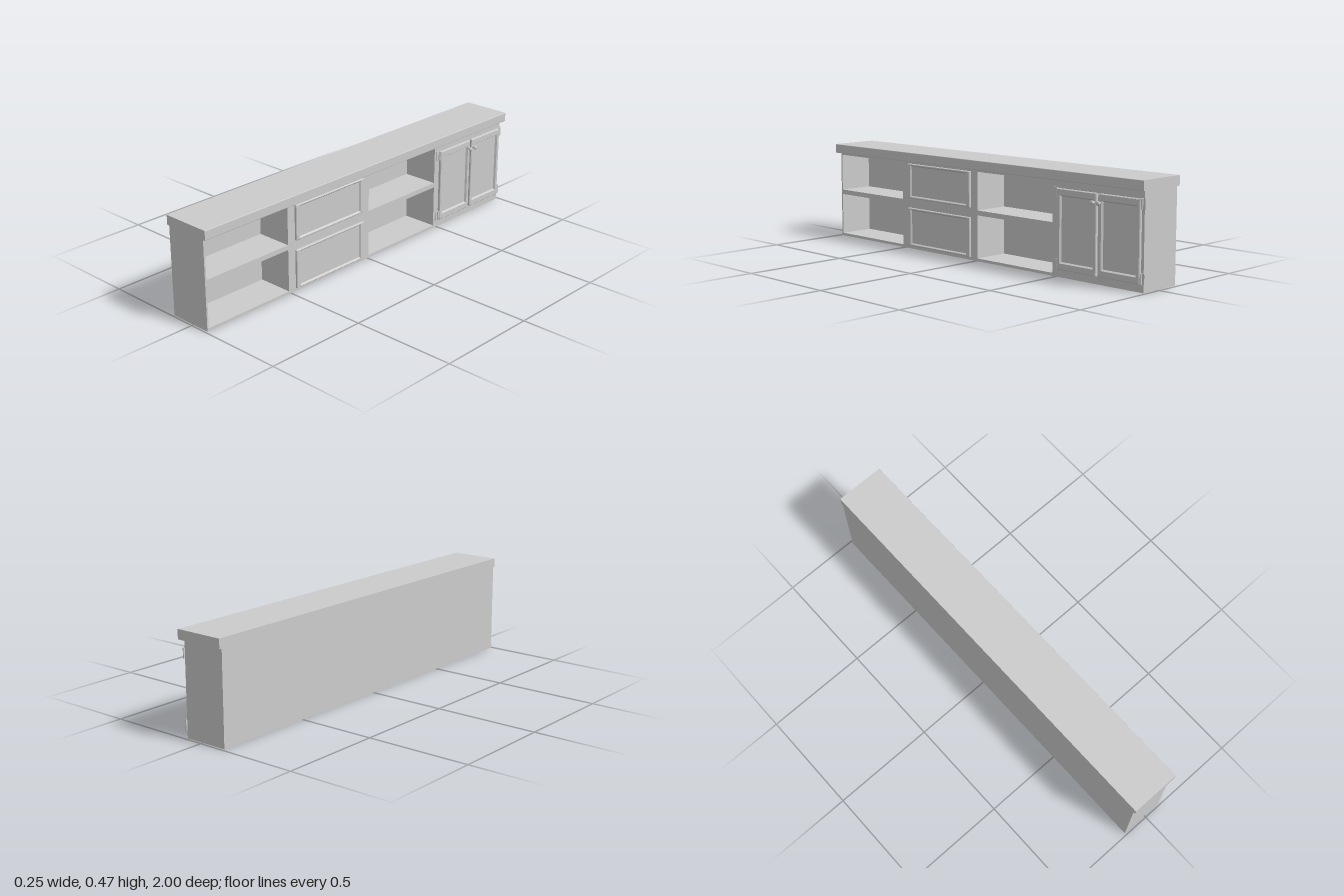
import * as THREE from 'three';

const material = new THREE.MeshStandardMaterial({ color: 0xcccccc });
const flat = new THREE.MeshStandardMaterial({ color: 0xcccccc, flatShading: true });

// The cabinet is built facing local +z with u = local x along its length,
// then turned so its doors face +x.
const FACE = 0.09, BACK = -0.125, INNER_BACK = -0.085;

function add(parent, name, geometry, x = 0, y = 0, z = 0, mat = material) {
  const mesh = new THREE.Mesh(geometry, mat);
  mesh.name = name;
  mesh.position.set(x, y, z);
  parent.add(mesh);
  return mesh;
}

function rectPath(path, u0, u1, y0, y1) {
  path.moveTo(u0, y0);
  path.lineTo(u1, y0);
  path.lineTo(u1, y1);
  path.lineTo(u0, y1);
  path.closePath();
  return path;
}

// Framed front with a sunken panel: rectangular rings joined from back to centre
function framedFront(u0, u1, y0, y1, frameU, frameY, top) {
  const e = 0.003, c = 0.006;
  const rings = [
    [0, 0, FACE], [0, 0, top - e], [e, e, top],
    [frameU - c, frameY - c, top], [frameU, frameY, FACE + 0.004],
  ];
  const positions = [], index = [];
  for (const [du, dy, z] of rings) {
    positions.push(u0 + du, y0 + dy, z, u1 - du, y0 + dy, z, u1 - du, y1 - dy, z, u0 + du, y1 - dy, z);
  }
  for (let r = 0; r < rings.length - 1; r++) {
    for (let i = 0; i < 4; i++) {
      const a = r * 4 + i, b = r * 4 + (i + 1) % 4;
      index.push(a, b, b + 4, a, b + 4, a + 4);
    }
  }
  const last = (rings.length - 1) * 4;
  index.push(last, last + 1, last + 2, last, last + 2, last + 3);
  const geometry = new THREE.BufferGeometry();
  geometry.setAttribute('position', new THREE.Float32BufferAttribute(positions, 3));
  geometry.setIndex(index);
  const faceted = geometry.toNonIndexed();
  faceted.computeVertexNormals();
  return faceted;
}

// Hinge: a leaf screwed to the frame and a barrel beside the door
function addHinge(parent, u, y, side) {
  const hinge = new THREE.Group();
  hinge.name = 'hinge';
  add(hinge, 'hingeLeaf', new THREE.BoxGeometry(0.018, 0.046, 0.005), side * 0.012, 0, FACE + 0.002);
  add(hinge, 'hingeBarrel', new THREE.CylinderGeometry(0.005, 0.005, 0.046, 12), side * 0.004, 0, FACE + 0.005);
  hinge.position.set(u, y, 0);
  parent.add(hinge);
}

export function createModel() {
  const model = new THREE.Group();
  model.name = 'lowCabinet';
  const cabinet = new THREE.Group();
  cabinet.name = 'cabinet';
  cabinet.rotation.y = Math.PI / 2;
  model.add(cabinet);

  // Carcass with four open compartments, closed by a back panel
  const u0 = -0.99, u1 = 0.987, height = 0.43;
  const outline = rectPath(new THREE.Shape(), u0, u1, 0, height);
  for (const [a, b] of [[-0.982, -0.512], [0.008, 0.478]]) {
    for (const [lo, hi] of [[0.013, 0.216], [0.239, 0.419]]) {
      outline.holes.push(rectPath(new THREE.Path(), a, b, lo, hi));
    }
  }
  const carcass = new THREE.ExtrudeGeometry(outline, { depth: FACE - INNER_BACK, bevelEnabled: false });
  add(cabinet, 'carcass', carcass, 0, 0, INNER_BACK);
  add(cabinet, 'backPanel', new THREE.BoxGeometry(u1 - u0, height, INNER_BACK - BACK),
    (u0 + u1) / 2, height / 2, (INNER_BACK + BACK) / 2);

  // Countertop: side profile with eased front edges, run along the length
  const y0 = 0.43, y1 = 0.475, front = 0.115, r = 0.004;
  const profile = new THREE.Shape();
  profile.moveTo(BACK, y0);
  profile.lineTo(front - r, y0);
  profile.quadraticCurveTo(front, y0, front, y0 + r);
  profile.lineTo(front, y1 - r);
  profile.quadraticCurveTo(front, y1, front - r, y1);
  profile.lineTo(BACK, y1);
  profile.closePath();
  const top = new THREE.ExtrudeGeometry(profile, { depth: 2, bevelEnabled: false, curveSegments: 4 });
  top.translate(0, 0, -1);
  top.rotateY(-Math.PI / 2);
  add(cabinet, 'countertop', top);

  // Drawer fronts
  for (const [lo, hi] of [[0.015, 0.202], [0.249, 0.418]]) {
    add(cabinet, 'drawerFront', framedFront(-0.469, -0.035, lo, hi, 0.027, 0.013, 0.101), 0, 0, 0, flat);
  }

  // Pair of doors with hinges and knobs, mirrored about their meeting line
  const knobProfile = [
    [0.006, 0], [0.0045, 0.003], [0.004, 0.009], [0.006, 0.011], [0.0095, 0.013],
    [0.0105, 0.016], [0.0095, 0.019], [0.006, 0.0215], [0, 0.0225],
  ].map(([x, y]) => new THREE.Vector2(x, y));
  const knob = new THREE.LatheGeometry(knobProfile, 20);
  knob.rotateX(Math.PI / 2);
  const mid = 0.7425;
  for (const side of [-1, 1]) {
    const inner = mid + side * 0.0055, outer = mid + side * 0.2305;
    add(cabinet, 'door', framedFront(Math.min(inner, outer), Math.max(inner, outer),
      0.036, 0.394, 0.023, 0.034, 0.103), 0, 0, 0, flat);
    add(cabinet, 'knob', knob, mid + side * 0.017, 0.354, 0.1015);
    for (const y of [0.059, 0.374]) addHinge(cabinet, outer, y, side);
  }
  return model;
}
